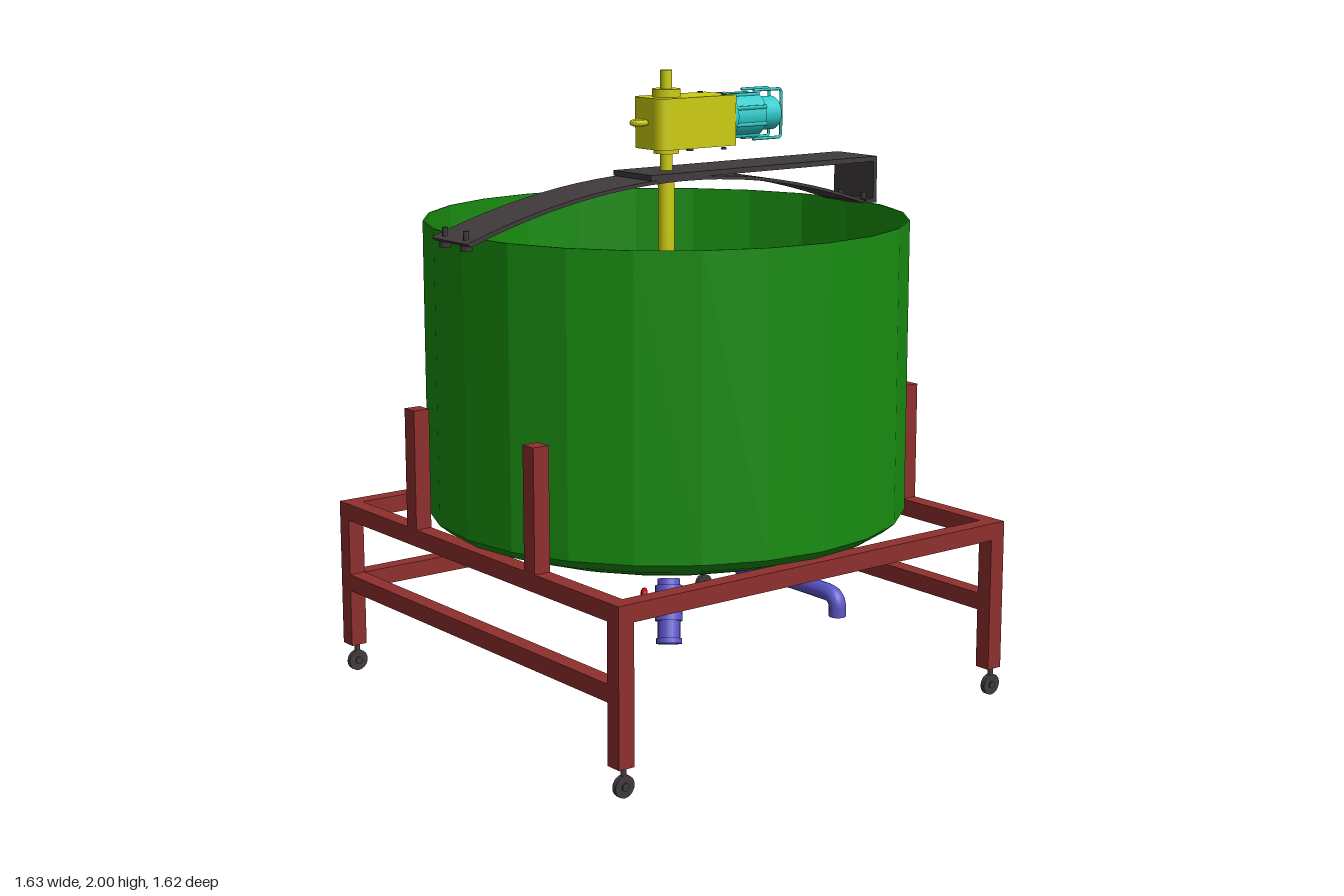
import * as THREE from 'three';

const mat = (color, side = THREE.FrontSide, flatShading = false) =>
  new THREE.MeshStandardMaterial({ color, side, flatShading });
const GREEN = mat(0x188c10, THREE.DoubleSide, true), FRAME = mat(0x8e2f2d), DARK = mat(0x403a3c),
  PLATE = mat(0x403a3c, THREE.DoubleSide), YELLOW = mat(0xcccc10), CYAN = mat(0x30cccc),
  BLUE = mat(0x5a55c8, THREE.DoubleSide), RED = mat(0xcc1111);
const CZ = -0.045; // tank axis in z
const V = (x, y, z) => new THREE.Vector3(x, y, z);

export function createModel() {
  const model = new THREE.Group();
  const add = (name, geo, material, parent = model) => {
    const m = new THREE.Mesh(geo, material);
    m.name = name;
    parent.add(m);
    return m;
  };
  // box given by its limits
  const box = (name, material, x0, x1, y0, y1, z0, z1) => {
    const m = add(name, new THREE.BoxGeometry(x1 - x0, y1 - y0, z1 - z0), material);
    m.position.set((x0 + x1) / 2, (y0 + y1) / 2, (z0 + z1) / 2);
    return m;
  };
  // cylinder or cone between two points
  const rod = (name, material, a, b, r0, r1 = r0, sides = 20) => {
    const d = b.clone().sub(a);
    const m = add(name, new THREE.CylinderGeometry(r1, r0, d.length(), sides), material);
    m.position.copy(a).addScaledVector(d, 0.5);
    m.quaternion.setFromUnitVectors(V(0, 1, 0), d.normalize());
    return m;
  };

  // faceted open tank with a shallow dished floor
  const profile = [];
  for (let i = 0; i <= 8; i++) {
    const r = 0.73 * i / 8;
    profile.push(new THREE.Vector2(r, 0.44 + 0.14 * (i / 8) ** 2));
  }
  profile.push(new THREE.Vector2(0.767, 0.61), new THREE.Vector2(0.767, 1.54), new THREE.Vector2(0.761, 1.54));
  add('tank', new THREE.LatheGeometry(profile, 24), GREEN).position.z = CZ;

  // stand: legs, casters, rails and side posts
  const W = 0.767, T = 0.055, Z0 = -0.812, Z1 = 0.722;
  for (const s of [-1, 1]) {
    const xa = s < 0 ? -W : W - T, xb = xa + T;
    for (const z of [Z0, Z1 - T]) {
      box('leg', FRAME, xa, xb, 0.095, 0.58, z, z + T);
      const x = s < 0 ? -0.735 : 0.745, zc = z + T / 2 + 0.005;
      rod('casterWheel', DARK, V(x, 0.036, zc - 0.008), V(x, 0.036, zc + 0.008), 0.034);
      rod('casterHub', DARK, V(x, 0.036, zc - 0.013), V(x, 0.036, zc + 0.013), 0.012);
      rod('casterStem', DARK, V(x, 0.06, zc), V(x, 0.1, zc), 0.009);
    }
    for (const y of [0.285, 0.525]) box('sideRail', FRAME, xa, xb, y, y + T, Z0 + T, Z1 - T);
    for (const z of [0.285, -0.365]) box('post', FRAME, xa, xb, 0.58, 0.962, z - T / 2, z + T / 2);
  }
  box('frontRail', FRAME, T - W, W - T, 0.525, 0.58, Z1 - T, Z1);
  for (const y of [0.285, 0.525]) box('backRail', FRAME, T - W, W - T, y, y + T, Z0, Z0 + T);

  // arched bridge over the rim, with its feet and bolts
  const arch = new THREE.Shape();
  arch.moveTo(-0.815, 1.532);
  arch.quadraticCurveTo(0, 1.812, 0.79, 1.532);
  arch.lineTo(0.79, 1.522);
  arch.quadraticCurveTo(0, 1.8, -0.8, 1.522);
  arch.closePath();
  add('archedBridge', new THREE.ExtrudeGeometry(arch, { depth: 0.195, bevelEnabled: false, curveSegments: 24 }), PLATE)
    .position.z = CZ - 0.0975;
  const ZA = CZ - 0.0975, ZB = CZ + 0.0975;
  box('mountPlate', DARK, -0.135, 0.812, 1.67, 1.687, ZA, ZB);
  box('mountUpright', DARK, 0.797, 0.812, 1.535, 1.67, ZA, ZB);
  box('mountFoot', DARK, 0.765, 0.812, 1.532, 1.546, ZA, ZB);
  for (const x of [-0.79, 0.79]) for (const z of [0.012, -0.102]) {
    rod('bolt', DARK, V(x, 1.515, z), V(x, 1.565, z), 0.009, 0.009, 8);
    rod('nut', DARK, V(x, 1.505, z), V(x, 1.522, z), 0.018, 0.018, 6);
  }

  // gearbox: one end rounded, with shaft, collars and torque lug
  const plan = new THREE.Shape();
  plan.moveTo(0.22, -0.078);
  plan.lineTo(0.22, 0.078);
  plan.lineTo(-0.04, 0.078);
  plan.quadraticCurveTo(-0.08, 0.078, -0.08, 0.038);
  plan.lineTo(-0.08, -0.038);
  plan.quadraticCurveTo(-0.08, -0.078, -0.04, -0.078);
  plan.closePath();
  const gear = add('gearbox', new THREE.ExtrudeGeometry(plan, { depth: 0.16, bevelEnabled: false }), YELLOW);
  gear.rotation.x = -Math.PI / 2;
  gear.position.set(0, 1.757, CZ);
  const lug = add('torqueLug', new THREE.TorusGeometry(0.02, 0.01, 8, 20), YELLOW);
  lug.rotation.x = Math.PI / 2;
  lug.position.set(-0.107, 1.841, CZ);
  const up = (name, y0, y1, r) => rod(name, YELLOW, V(0, y0, CZ), V(0, y1, CZ), r, r, 24);
  up('topCollar', 1.915, 1.942, 0.045);
  up('topShaft', 1.94, 2, 0.019);
  up('bottomCollar', 1.74, 1.757, 0.04);
  up('couplingShaft', 1.66, 1.74, 0.02);
  up('mixerShaft', 1.1, 1.67, 0.027);
  up('mixerHub', 1.1, 1.32, 0.083);
  for (const z of [-0.06, 0.06])
    for (const y of [1.745, 1.915]) rod('gearboxBolt', DARK, V(0.185, y, CZ + z), V(0.185, y + 0.006, CZ + z), 0.009, 0.009, 8);
  rod('drainPlug', DARK, V(0.095, 1.742, CZ), V(0.095, 1.757, CZ), 0.012, 0.012, 8);

  // motor with ribs and a wire guard
  const along = (name, x0, x1, r) => rod(name, CYAN, V(x0, 1.845, CZ), V(x1, 1.845, CZ), r, r, 24);
  along('motorFlange', 0.215, 0.235, 0.076);
  along('motorBody', 0.235, 0.355, 0.07);
  along('motorCover', 0.355, 0.43, 0.054);
  along('motorEnd', 0.43, 0.442, 0.04);
  for (let i = 0; i < 8; i++) {
    const a = (i + 0.5) * Math.PI / 4, y = 1.845 + Math.sin(a) * 0.07, z = CZ + Math.cos(a) * 0.07;
    rod('motorRib', CYAN, V(0.23, y, z), V(0.355, y, z), 0.007, 0.007, 6);
  }
  for (const z of [-0.03, 0.03]) {
    const pts = [[0.33, 1.923], [0.44, 1.923], [0.447, 1.916], [0.447, 1.774], [0.44, 1.767], [0.33, 1.767]];
    for (let i = 0; i < 5; i++)
      rod('motorGuard', CYAN, V(...pts[i], CZ + z), V(...pts[i + 1], CZ + z), 0.005, 0.005, 8);
  }

  // pitched blades that flare outwards from the hub
  const blade = new THREE.Shape();
  blade.moveTo(0.06, 0.05);
  blade.lineTo(0.265, 0.11);
  blade.lineTo(0.265, -0.1);
  blade.lineTo(0.06, -0.05);
  blade.closePath();
  const bladeGeo = new THREE.ExtrudeGeometry(blade, { depth: 0.008, bevelEnabled: false });
  for (let i = 0; i < 4; i++) {
    const arm = new THREE.Group();
    arm.name = 'mixerBlade';
    arm.position.set(0, 1.25, CZ);
    arm.rotation.y = i * Math.PI / 2;
    add('blade', bladeGeo, PLATE, arm).rotation.x = 0.16;
    model.add(arm);
  }

  // front drain: reducer through the floor, then an elbow
  rod('drainSleeve', BLUE, V(0, 0.49, 0.36), V(0, 0.49, 0.47), 0.048);
  rod('drainReducer', BLUE, V(0, 0.49, 0.47), V(0, 0.49, 0.56), 0.048, 0.026);
  const bend = new THREE.CurvePath();
  bend.add(new THREE.LineCurve3(V(0, 0.49, 0.55), V(0, 0.49, 0.735)));
  bend.add(new THREE.QuadraticBezierCurve3(V(0, 0.49, 0.735), V(0, 0.49, 0.785), V(0, 0.45, 0.785)));
  bend.add(new THREE.LineCurve3(V(0, 0.45, 0.785), V(0, 0.425, 0.785)));
  add('drainElbow', new THREE.TubeGeometry(bend, 40, 0.026, 16), BLUE);

  // slanted outlet valve with a red handwheel
  const p0 = V(-0.365, 0.525, 0.435), p1 = V(-0.408, 0.345, 0.492);
  const at = t => p0.clone().lerp(p1, t);
  rod('outletPipe', BLUE, p0, p1, 0.034);
  rod('outletCollar', BLUE, at(0.1), at(0.65), 0.041);
  rod('outletLip', BLUE, at(0.92), p1, 0.039);
  const w0 = at(0.4), w1 = V(-0.445, 0.46, 0.415);
  rod('valveStem', RED, w0, w1, 0.012);
  const wheel = add('valveHandwheel', new THREE.TorusGeometry(0.038, 0.009, 8, 20), RED);
  wheel.position.copy(w1);
  wheel.quaternion.setFromUnitVectors(V(0, 0, 1), w1.clone().sub(w0).normalize());
  for (let i = 0; i < 2; i++) {
    const spoke = add('valveSpoke', new THREE.BoxGeometry(0.076, 0.012, 0.01), RED, wheel);
    spoke.rotation.z = i * Math.PI / 2;
  }
  return model;
}
